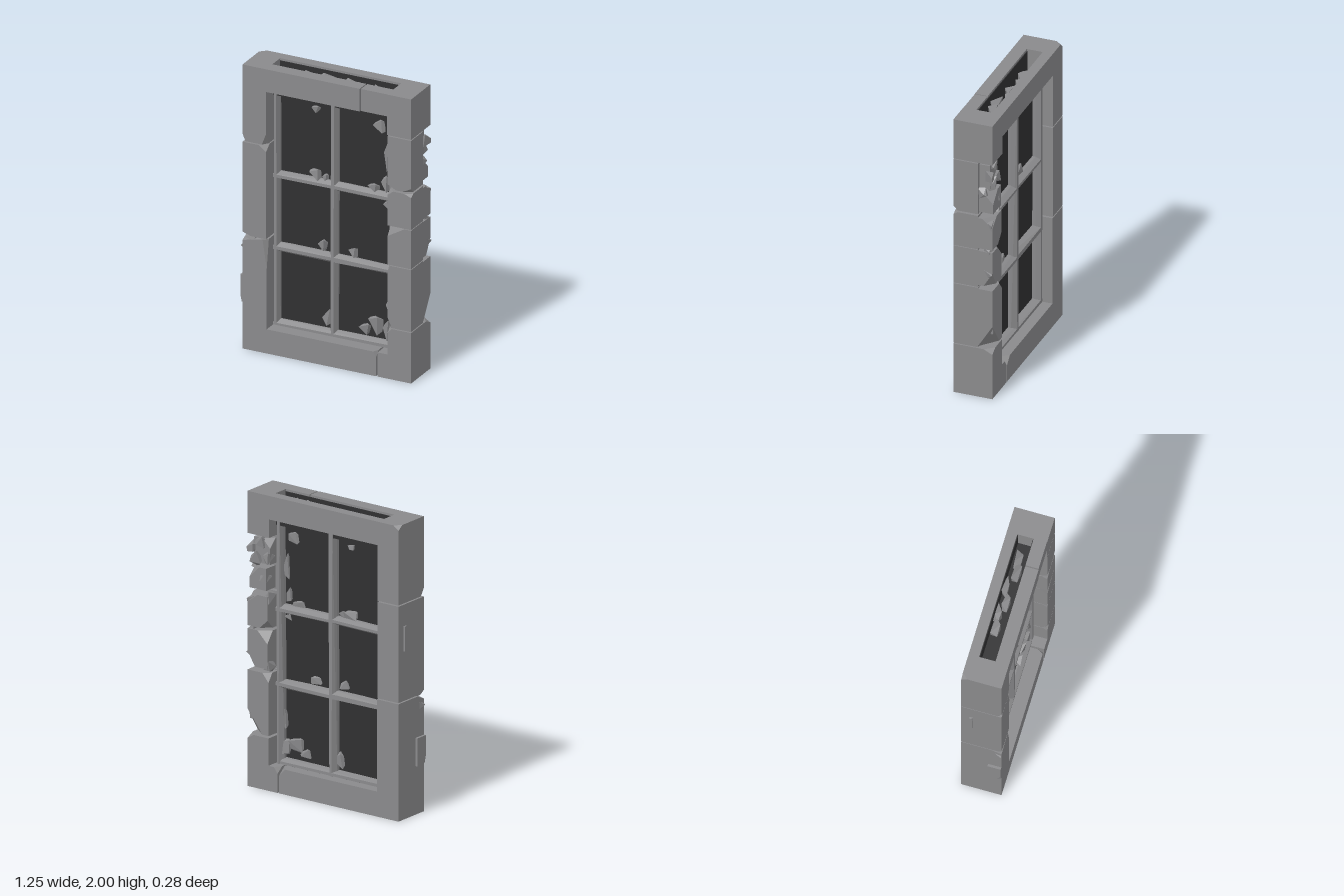
import * as THREE from 'three';
import { ConvexGeometry } from 'three/addons/geometries/ConvexGeometry.js';

const V = (x, y, z) => new THREE.Vector3(x, y, z);

export function createModel() {
  const group = new THREE.Group();
  const mat = (name, color) => {
    const m = new THREE.MeshStandardMaterial({ color });
    m.name = name;
    return m;
  };
  const stone = mat('grey stone', 0x8a8a8c);
  const dark = mat('dark glass', 0x303031);

  let seed = 7;
  const rnd = () => {
    seed = (seed * 16807) % 2147483647;
    return seed / 2147483647;
  };
  const add = (name, geometry, material = stone) => {
    const mesh = new THREE.Mesh(geometry, material);
    mesh.name = name;
    group.add(mesh);
    return mesh;
  };

  // Box between limits; each chip [sx, sy, sz, dx, dy, dz] cuts one corner off
  const block = (name, X, Y, Z, chips = []) => {
    const pts = [];
    for (const i of [0, 1]) for (const j of [0, 1]) for (const k of [0, 1]) {
      const c = V(X[i], Y[j], Z[k]);
      const chip = chips.find(h => (h[0] > 0) === !!i && (h[1] > 0) === !!j && (h[2] > 0) === !!k);
      if (!chip) { pts.push(c); continue; }
      const [sx, sy, sz, dx, dy, dz] = chip;
      pts.push(V(c.x - sx * dx, c.y, c.z), V(c.x, c.y - sy * dy, c.z), V(c.x, c.y, c.z - sz * dz));
    }
    return add(name, new ConvexGeometry(pts));
  };

  // Bar with bevelled long edges and slightly uneven corners
  const bar = (name, vertical, a, b, mid, half) => {
    const pts = [];
    const section = [[-0.4, 0.05], [0.4, 0.05], [1, 0.015], [1, -0.025], [0.4, -0.06], [-0.4, -0.06], [-1, -0.025], [-1, 0.015]];
    for (const t of [a, b]) for (const [u, z] of section) {
      const w = mid + u * half + (rnd() - 0.5) * 0.012;
      pts.push(vertical ? V(w, t, z) : V(t, w, z));
    }
    add(name, new ConvexGeometry(pts));
  };

  // Jagged convex chunk
  const chunk = (name, x, y, z, rx, ry, rz) => {
    const pts = [];
    for (let i = 0; i < 7; i++) {
      const a = (i + rnd() * 0.7) / 7 * Math.PI * 2;
      const r = 0.65 + rnd() * 0.4;
      pts.push(V(x + Math.cos(a) * r * rx, y + Math.sin(a) * r * ry, z + (i % 2 ? 1 : -1) * rz * (0.4 + rnd() * 0.6)));
    }
    add(name, new ConvexGeometry(pts));
  };

  const D = [-0.13, 0.14];

  // Lintel with an open slot and a crack in its front half
  block('lintelLeftEnd', [-0.61, -0.44], [1.84, 2], D, [[-1, 1, -1, 0.04, 0.03, 0.04]]);
  block('lintelRightEnd', [0.435, 0.61], [1.715, 2], D);
  block('lintelFrontLeft', [-0.44, 0.238], [1.84, 2], [0.05, 0.14]);
  block('lintelFrontRight', [0.246, 0.435], [1.845, 2], [0.05, 0.138]);
  block('lintelBack', [-0.44, 0.435], [1.84, 2], [-0.13, -0.06]);

  // Sill split by a crack
  block('sill', [-0.61, 0.355], [0, 0.17], D, [[1, 1, 1, 0.02, 0.04, 0.04], [1, 1, -1, 0.05, 0.05, 0.06]]);
  block('sillRight', [0.367, 0.45], [0, 0.17], D, [[-1, 1, -1, 0.03, 0.04, 0.05]]);
  block('jambRightBase', [0.44, 0.61], [0, 0.355], D, [[-1, 1, 1, 0.03, 0.03, 0.03], [1, 1, -1, 0.05, 0.03, 0.06]]);

  // Left jamb
  block('jambLeftLower', [-0.61, -0.435], [0.17, 0.795], D, [[-1, 1, 1, 0.14, 0.03, 0.07], [1, 1, 1, 0.03, 0.2, 0.03]]);
  block('jambLeftMiddle', [-0.61, -0.44], [0.803, 1.456], D, [[1, 1, 1, 0.05, 0.04, 0.05], [-1, -1, 1, 0.06, 0.02, 0.03]]);
  block('jambLeftUpper', [-0.61, -0.44], [1.464, 1.84], D, [[1, -1, 1, 0.03, 0.08, 0.04], [-1, -1, 1, 0.02, 0.05, 0.03]]);
  block('jambLeftFlake', [-0.627, -0.6], [0.33, 0.52], [0.05, 0.139], [[-1, -1, 1, 0.01, 0.05, 0.03]]);
  block('jambLeftFlake', [-0.622, -0.6], [1.14, 1.31], [-0.075, -0.05], [[-1, 1, 1, 0.01, 0.05, 0.01]]);
  chunk('jambLeftRubble', -0.585, 0.72, 0.1, 0.04, 0.06, 0.05);
  chunk('jambLeftRubble', -0.53, 0.785, 0.09, 0.08, 0.02, 0.05);

  // Right jamb: whole front halves, broken back halves
  const F = [-0.03, 0.14], B = [-0.13, -0.02];
  block('jambRightFront', [0.44, 0.61], [0.362, 0.798], F, [[-1, -1, 1, 0.03, 0.07, 0.03], [-1, 1, 1, 0.02, 0.04, 0.03]]);
  block('jambRightFront', [0.44, 0.61], [0.804, 1.075], F, [[-1, 1, 1, 0.12, 0.07, 0.05]]);
  block('jambRightFront', [0.44, 0.61], [1.08, 1.325], F, [[-1, 1, 1, 0.04, 0.03, 0.04], [1, 1, 1, 0.05, 0.02, 0.03]]);
  block('jambRightFront', [0.44, 0.61], [1.338, 1.708], F, [[-1, -1, 1, 0.06, 0.03, 0.04], [1, -1, 1, 0.06, 0.03, 0.03]]);
  block('jambRightBack', [0.44, 0.61], [0.37, 0.79], B, [[1, -1, -1, 0.12, 0.16, 0.1], [-1, 1, -1, 0.05, 0.06, 0.04]]);
  block('jambRightBack', [0.45, 0.61], [0.82, 1.07], B, [[1, -1, -1, 0.06, 0.1, 0.06], [-1, 1, -1, 0.08, 0.08, 0.06]]);
  block('jambRightBack', [0.45, 0.61], [1.09, 1.31], B, [[1, 1, -1, 0.08, 0.06, 0.07], [-1, -1, -1, 0.06, 0.06, 0.06]]);
  block('jambRightBack', [0.46, 0.595], [1.35, 1.5], B, [[1, 1, -1, 0.08, 0.08, 0.08]]);
  block('jambRightBack', [0.45, 0.58], [1.52, 1.69], [-0.1, -0.02], [[-1, 1, -1, 0.06, 0.06, 0.06]]);
  for (const [x, y, z, r] of [
    [0.59, 1.62, -0.1, 0.045], [0.52, 1.66, -0.09, 0.05], [0.47, 1.57, -0.09, 0.045],
    [0.59, 1.49, -0.05, 0.035], [0.55, 1.55, -0.1, 0.05], [0.48, 1.44, -0.1, 0.04],
    [0.585, 1.25, -0.09, 0.045], [0.46, 1.3, -0.09, 0.04], [0.59, 1.07, -0.09, 0.04],
    [0.59, 0.9, -0.09, 0.04], [0.46, 0.83, -0.09, 0.04], [0.57, 0.5, -0.09, 0.04]
  ]) chunk('jambRightRubble', x, y, z, r * 0.8, r * 1.2, 0.04);

  // Inner frame and glazing bars
  bar('innerFrameLeft', true, 0.17, 1.84, -0.422, 0.024);
  bar('innerFrameRight', true, 0.17, 1.84, 0.418, 0.024);
  bar('innerFrameBottom', false, -0.44, 0.4, 0.18, 0.024);
  bar('muntinVertical', true, 0.17, 1.84, -0.006, 0.028);
  for (const y of [0.71, 1.22]) {
    bar('muntinHorizontal', false, -0.435, -0.006, y, 0.03);
    bar('muntinHorizontal', false, -0.006, 0.435, y, 0.03);
  }

  // Dark panes, header strip and slot lining
  const plate = (name, X, Y, Z) => {
    const g = new THREE.BoxGeometry(X[1] - X[0], Y[1] - Y[0], Z[1] - Z[0]);
    add(name, g, dark).position.set((X[0] + X[1]) / 2, (Y[0] + Y[1]) / 2, (Z[0] + Z[1]) / 2);
  };
  for (const X of [[-0.41, -0.02], [0.01, 0.41]])
    for (const Y of [[0.19, 0.7], [0.71, 1.21], [1.22, 1.79]]) plate('pane', X, Y, [-0.004, 0.004]);
  plate('header', [-0.44, 0.435], [1.785, 1.842], [-0.055, 0.045]);
  plate('slotLining', [-0.44, 0.435], [1.84, 1.985], [-0.06, -0.055]);
  plate('slotLining', [-0.44, 0.435], [1.84, 1.985], [0.045, 0.05]);

  // Broken bits lying on the bars and wedged against the panes
  for (const [x, y, rx, ry, rz] of [
    [-0.14, 1.735, 0.04, 0.035, 0.02], [0.325, 1.71, 0.06, 0.05, 0.025], [-0.14, 1.275, 0.07, 0.04, 0.04],
    [-0.07, 1.265, 0.03, 0.03, 0.03], [0.28, 1.265, 0.07, 0.03, 0.04], [0.365, 1.31, 0.03, 0.07, 0.03],
    [0.38, 1.5, 0.025, 0.11, 0.03], [0.37, 1.16, 0.035, 0.025, 0.02], [-0.09, 0.785, 0.045, 0.045, 0.035],
    [0.14, 0.775, 0.05, 0.04, 0.035], [-0.05, 0.275, 0.055, 0.07, 0.035], [0.3, 0.31, 0.065, 0.075, 0.035],
    [0.22, 0.255, 0.055, 0.045, 0.035], [0.38, 0.28, 0.05, 0.075, 0.06], [0.4, 0.47, 0.03, 0.1, 0.04]
  ]) chunk('shard', x, y, 0.005, rx, ry, rz);

  // Debris in the lintel slot
  for (const [x, z] of [[-0.2, -0.02], [-0.1, -0.035], [0, 0], [0.1, -0.03], [0.2, 0.005], [0.3, -0.01]])
    chunk('slotDebris', x, 1.92, z, 0.08, 0.06, 0.03);

  return group;
}
